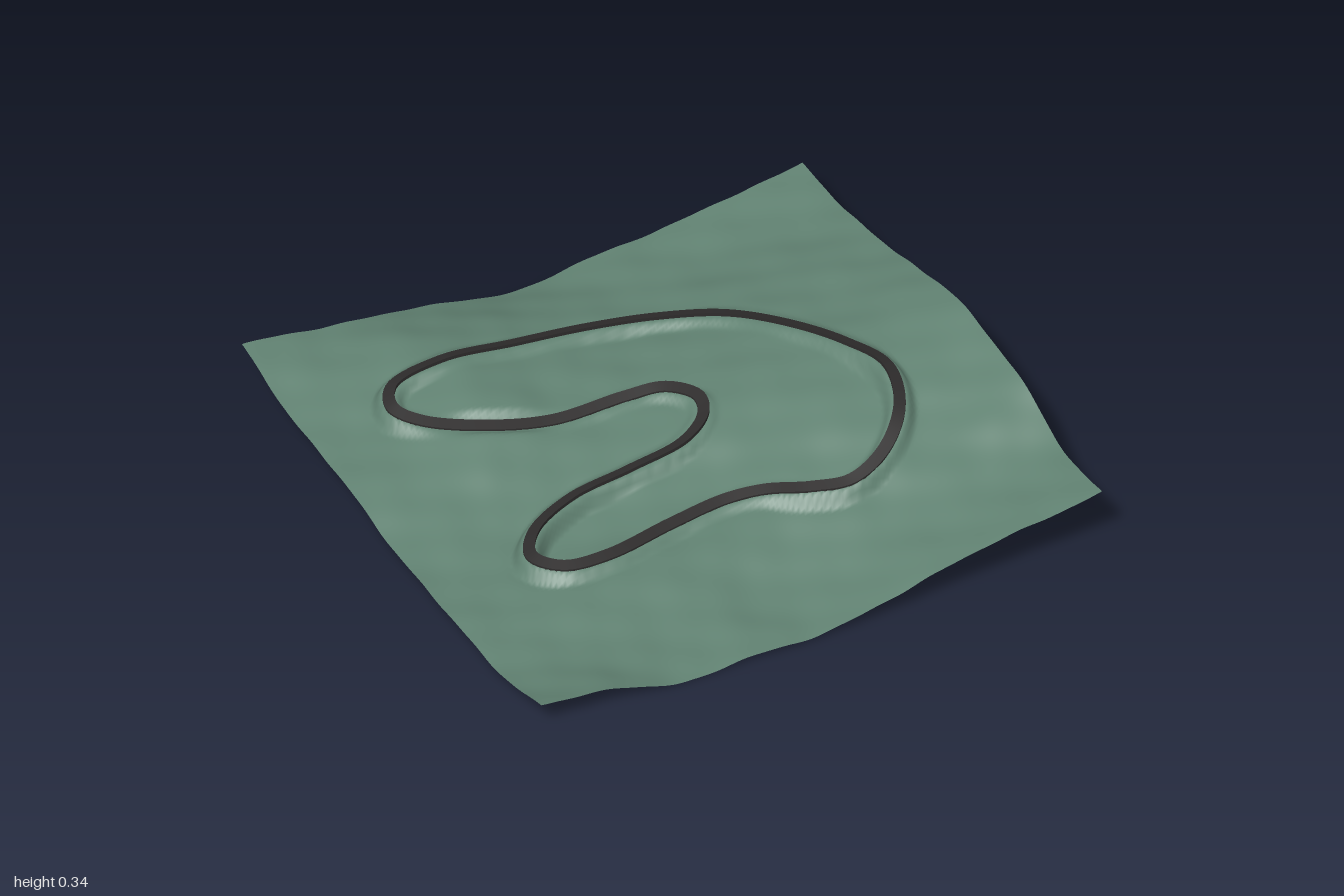
import * as THREE from 'three';
import { toCreasedNormals } from 'three/addons/utils/BufferGeometryUtils.js';

// Ground heights in hundredths: rows run z = -1..1, columns x = -1..1
const HEIGHTS = [
  [18.3, 15, 12, 8, 4, 8, 10, 14, 18],
  [12.5, 15, 18, 15, 12, 11, 12, 15, 18.5],
  [10, 13, 19, 17, 15, 15, 18, 20, 22],
  [8.5, 12, 17, 15, 16, 18, 22, 24, 28],
  [5, 8, 10, 12, 16, 20, 24, 28, 33.5],
  [4, 4.5, 4.5, 7.5, 11, 17, 23, 27, 33],
  [3.5, 5, 7, 8, 9, 12.5, 18, 23, 30],
  [4, 4, 3.5, 4, 3, 8, 13, 18, 21],
  [10, 7, 0.8, 2, 2.2, 7, 14, 18, 22.5],
];

// Closed road centre line: x, z, height
const ROAD = [
  [-0.5, -0.605, 0.21], [-0.25, -0.595, 0.19], [0, -0.57, 0.18], [0.22, -0.515, 0.18],
  [0.4, -0.41, 0.2], [0.52, -0.23, 0.243], [0.62, 0, 0.285], [0.665, 0.2, 0.308],
  [0.62, 0.36, 0.275], [0.5, 0.48, 0.22], [0.36, 0.525, 0.182], [0.24, 0.48, 0.165],
  [0.12, 0.395, 0.14], [0, 0.36, 0.122], [-0.2, 0.375, 0.108], [-0.45, 0.42, 0.104],
  [-0.6, 0.4, 0.1], [-0.665, 0.31, 0.1], [-0.6, 0.2, 0.105], [-0.42, 0.115, 0.12],
  [-0.2, 0.095, 0.14], [0, 0.08, 0.17], [0.1, 0.02, 0.195], [0.125, -0.06, 0.205],
  [0.06, -0.16, 0.195], [-0.06, -0.2, 0.173], [-0.3, -0.225, 0.15], [-0.5, -0.29, 0.155],
  [-0.68, -0.4, 0.165], [-0.735, -0.49, 0.175], [-0.69, -0.58, 0.188],
];

const SAMPLES = 360;
const HALF_WIDTH = 0.019;

// Smooth curve through four neighbouring heights
function cubic(a, b, c, d, t) {
  return b + 0.5 * t * (c - a + t * (2 * a - 5 * b + 4 * c - d + t * (3 * (b - c) + d - a)));
}

function alongRow(row, u) {
  const i = Math.min(7, Math.floor(u));
  const at = (k) => (k < 0 ? 2 * row[0] - row[1] : k > 8 ? 2 * row[8] - row[7] : row[k]);
  return cubic(at(i - 1), at(i), at(i + 1), at(i + 2), u - i);
}

function groundHeight(x, z) {
  const u = THREE.MathUtils.clamp((x + 1) * 4, 0, 8);
  const v = THREE.MathUtils.clamp((z + 1) * 4, 0, 8);
  const base = alongRow(HEIGHTS.map((row) => alongRow(row, u)), v) / 100;
  // Gentle irregular bumps
  const bumps = Math.sin(17 * x + 5 * z) * Math.sin(13 * z - 4 * x + 1)
    + 0.6 * Math.sin(29 * x - 11 * z + 2) * Math.sin(23 * z + 9 * x);
  return base + 0.004 * bumps;
}

// Terrain sheet, shaped into a steep embankment below the road
function terrainGeometry(path) {
  const geometry = new THREE.PlaneGeometry(2, 2, 160, 160).rotateX(-Math.PI / 2);
  const pos = geometry.attributes.position;
  for (let i = 0; i < pos.count; i++) {
    const x = pos.getX(i);
    const z = pos.getZ(i);
    let best = Infinity;
    let roadY = 0;
    for (const p of path) {
      const d = (p.x - x) ** 2 + (p.z - z) ** 2;
      if (d < best) {
        best = d;
        roadY = p.y;
      }
    }
    const blend = 1 - THREE.MathUtils.smoothstep(Math.sqrt(best), 0.024, 0.055);
    const y = THREE.MathUtils.lerp(groundHeight(x, z), roadY - 0.005, blend);
    pos.setY(i, Math.max(0, y));
  }
  geometry.computeVertexNormals();
  return geometry;
}

// Road slab: a thin section swept around the loop, its inner edge raised
function roadGeometry(path) {
  const section = [[-1, 0.001], [1, 0.012], [1, 0], [-1, -0.011]];
  const positions = [];
  const index = [];
  const n = path.length;
  path.forEach((p, i) => {
    const next = path[(i + 1) % n];
    const prev = path[(i + n - 1) % n];
    const side = new THREE.Vector3(prev.z - next.z, 0, next.x - prev.x).normalize();
    for (const [s, y] of section) {
      positions.push(p.x + side.x * s * HALF_WIDTH, p.y + y, p.z + side.z * s * HALF_WIDTH);
    }
    for (let j = 0; j < 4; j++) {
      const a = i * 4 + j;
      const b = i * 4 + ((j + 1) % 4);
      const c = ((i + 1) % n) * 4 + ((j + 1) % 4);
      const d = ((i + 1) % n) * 4 + j;
      index.push(a, b, c, a, c, d);
    }
  });
  const geometry = new THREE.BufferGeometry();
  geometry.setAttribute('position', new THREE.Float32BufferAttribute(positions, 3));
  geometry.setIndex(index);
  return toCreasedNormals(geometry, 0.7);
}

export function createModel() {
  const grass = new THREE.MeshStandardMaterial({ color: 0x618272, side: THREE.DoubleSide });
  grass.name = 'grass green';
  const asphalt = new THREE.MeshStandardMaterial({ color: 0x2e2c2c });
  asphalt.name = 'asphalt grey';

  const curve = new THREE.CatmullRomCurve3(
    ROAD.map(([x, z, y]) => new THREE.Vector3(x, y, z)), true, 'centripetal');
  const path = curve.getSpacedPoints(SAMPLES).slice(0, SAMPLES);

  const terrain = new THREE.Mesh(terrainGeometry(path), grass);
  terrain.name = 'terrain';
  const road = new THREE.Mesh(roadGeometry(path), asphalt);
  road.name = 'road';

  const model = new THREE.Group();
  model.name = 'landscapeWithRoad';
  model.add(terrain, road);
  return model;
}
